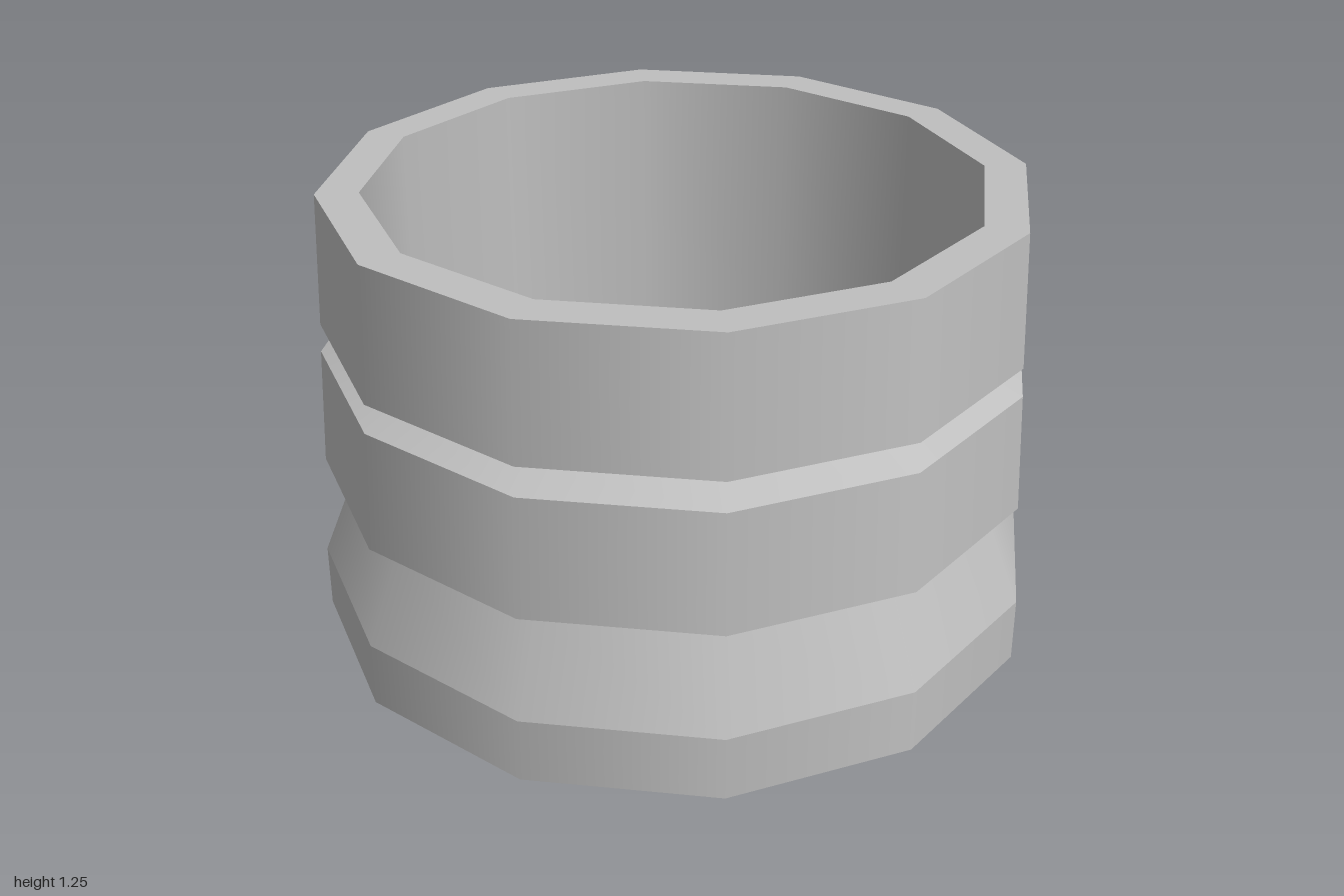
import * as THREE from 'three';
import { mergeGeometries, toCreasedNormals } from 'three/addons/utils/BufferGeometryUtils.js';

const SIDES = 12;
const INNER = 0.83;        // bore radius
const FLOOR_LOW = 0.05;    // underside of the spoked floor
const FLOOR_HIGH = 0.4;    // top of the spoked floor

// Turned surface: smooth around the axis, sharp between profile bands
function turned(profile) {
  const bands = [];
  for (let i = 0; i < profile.length - 1; i++) {
    const pts = [profile[i], profile[i + 1]].map(([r, y]) => new THREE.Vector2(r, y));
    bands.push(new THREE.LatheGeometry(pts, SIDES));
  }
  return mergeGeometries(bands);
}

function ring(radius, count) {
  return Array.from({ length: count }, (_, i) => {
    const a = (i / count) * Math.PI * 2;
    return new THREE.Vector2(Math.cos(a) * radius, Math.sin(a) * radius);
  });
}

export function createModel() {
  const group = new THREE.Group();
  group.name = 'groovedCup';
  const grey = new THREE.MeshStandardMaterial({ color: 0xbfbfbf });
  grey.name = 'grey';

  // Outer shell with two V grooves, rim, bore and bottom lip
  const shell = new THREE.Mesh(turned([
    [INNER, FLOOR_LOW], [INNER, 0], [1, 0], [1, 0.18], [0.9, 0.43],
    [0.98, 0.47], [0.965, 0.8], [0.88, 0.84], [0.96, 0.88],
    [0.945, 1.25], [INNER, 1.25], [INNER, FLOOR_HIGH],
  ]), grey);
  shell.name = 'shell';
  group.add(shell);

  // Floor with a hexagonal centre hole and four openings between spokes
  const floorShape = new THREE.Shape(ring(INNER, SIDES));
  floorShape.holes.push(new THREE.Path(ring(0.22, 6)));
  const half = [[0.385, 0.385], [0.54, 0.13], [0.65, 0.085], [0.74, 0.18], [0.685, 0.395]];
  const opening = [...half, ...half.slice(1).reverse().map(([x, y]) => [y, x])]
    .map(([x, y]) => new THREE.Vector2(x, y));
  for (let i = 0; i < 4; i++) {
    const origin = new THREE.Vector2();
    floorShape.holes.push(new THREE.Path(
      opening.map((p) => p.clone().rotateAround(origin, (i * Math.PI) / 2))));
  }
  const floorGeometry = new THREE.ExtrudeGeometry(floorShape, {
    depth: FLOOR_HIGH - FLOOR_LOW, bevelEnabled: false,
  });
  floorGeometry.rotateX(-Math.PI / 2).translate(0, FLOOR_LOW, 0);
  const floor = new THREE.Mesh(toCreasedNormals(floorGeometry, 1.1), grey);
  floor.name = 'spokedFloor';
  group.add(floor);

  return group;
}
